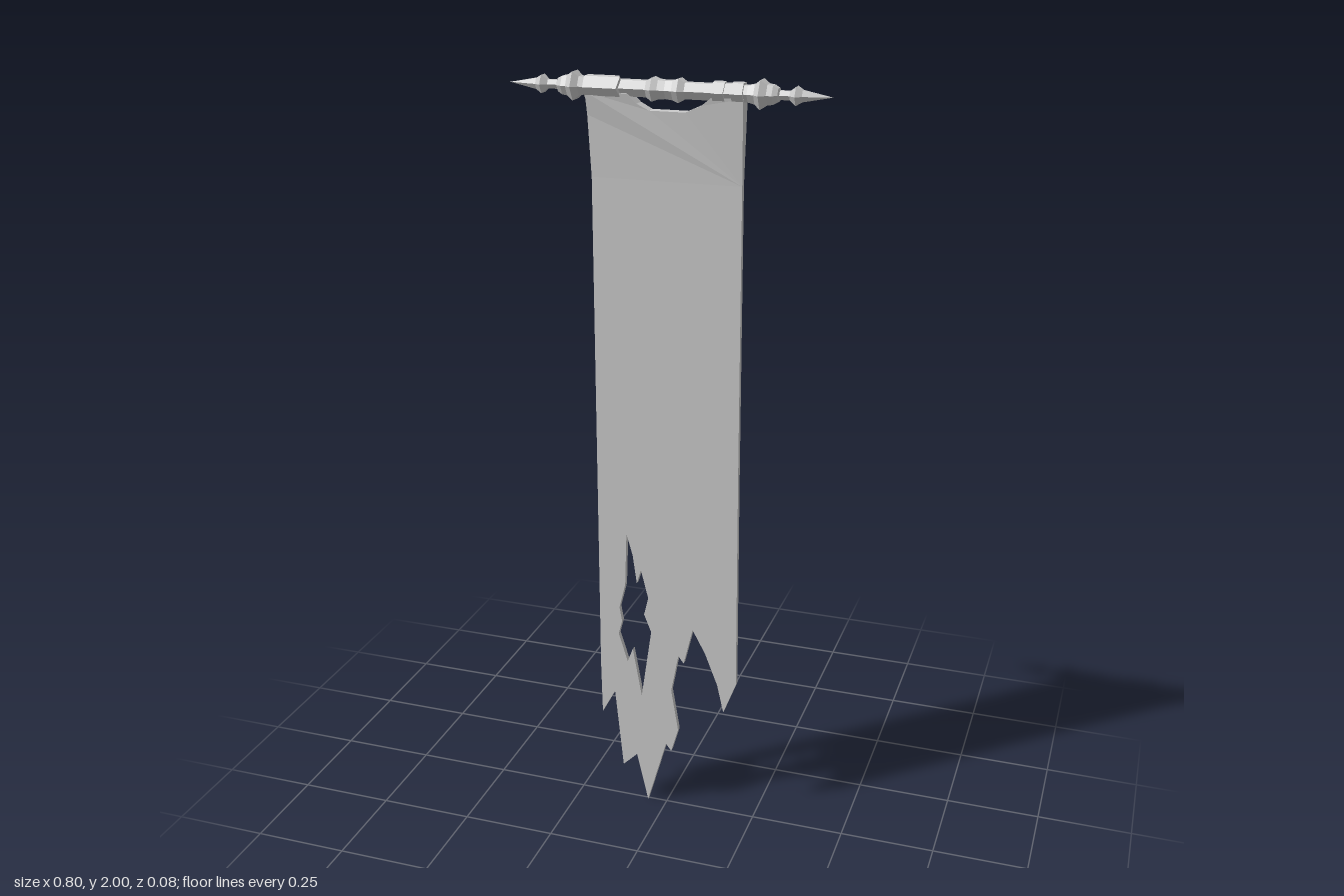
import * as THREE from 'three';

const ROD_Y = 1.966;
const SIDES = 6;
const mat = new THREE.MeshStandardMaterial({ color: 0xcccccc, flatShading: true, side: THREE.DoubleSide });

function addMesh(group, name, geometry) {
  const mesh = new THREE.Mesh(geometry, mat);
  mesh.name = name;
  group.add(mesh);
  return mesh;
}

const toPoints = (list) => list.map(([x, y]) => new THREE.Vector2(x, y));

// Cloth slab whose half thickness depends on height
function clothPiece(outline, holes, halfThickness) {
  const shape = new THREE.Shape(toPoints(outline));
  holes.forEach((h) => shape.holes.push(new THREE.Path(toPoints(h))));
  const geo = new THREE.ExtrudeGeometry(shape, { depth: 1, bevelEnabled: false });
  const p = geo.attributes.position;
  for (let i = 0; i < p.count; i++) {
    p.setZ(i, (p.getZ(i) > 0.5 ? 1 : -1) * halfThickness(p.getY(i)));
  }
  geo.computeVertexNormals();
  return geo;
}

// Loop of cloth around the rod, with uneven ends
function sleeve(x0, x1, radius, rag0, rag1) {
  const len = x1 - x0;
  const geo = new THREE.CylinderGeometry(radius, radius, len, SIDES);
  geo.rotateZ(-Math.PI / 2);
  const p = geo.attributes.position;
  for (let i = 0; i < p.count; i++) {
    const y = p.getY(i), z = p.getZ(i);
    const wave = Math.sin(2 * Math.atan2(z, y) + 0.6) - y / radius;
    p.setX(i, p.getX(i) + wave * (p.getX(i) > 0 ? rag1 : rag0));
  }
  geo.translate((x0 + x1) / 2, ROD_Y, 0.001);
  geo.computeVertexNormals();
  return geo;
}

export function createModel() {
  const model = new THREE.Group();
  model.name = 'tatteredBanner';

  // Turned rod with spear tips: half profile (distance from middle, radius), mirrored
  const half = [
    [0, 0.024], [0.018, 0.026], [0.033, 0.032], [0.048, 0.022], [0.2, 0.022],
    [0.217, 0.026], [0.231, 0.039], [0.247, 0.027], [0.26, 0.025], [0.272, 0.018],
    [0.275, 0.012], [0.299, 0.012], [0.314, 0.025], [0.329, 0.015], [0.4, 0],
  ];
  const profile = [
    ...half.slice(1).reverse().map(([d, r]) => new THREE.Vector2(r, -d)),
    ...half.map(([d, r]) => new THREE.Vector2(r, d)),
  ];
  const rod = addMesh(model, 'rod', new THREE.LatheGeometry(profile, SIDES));
  rod.rotation.z = -Math.PI / 2;
  rod.position.y = ROD_Y;

  // Long hanging cloth with torn hem and a ragged hole
  const hem = [
    [-0.19, 1.75], [-0.188, 0.41], [-0.185, 0.26], [-0.148, 0.33], [-0.125, 0.1],
    [-0.085, 0.14], [-0.053, 0], [0, 0.19], [0.015, 0.17], [0.035, 0.24],
    [0.015, 0.36], [0.035, 0.47], [0.05, 0.45], [0.075, 0.555], [0.11, 0.49],
    [0.145, 0.4], [0.163, 0.32], [0.197, 0.41], [0.193, 1], [0.19, 1.75],
  ];
  const tear = [
    [-0.11, 0.81], [-0.093, 0.75], [-0.082, 0.67], [-0.07, 0.71], [-0.05, 0.63],
    [-0.062, 0.58], [-0.042, 0.53], [-0.07, 0.33], [-0.095, 0.47], [-0.11, 0.43],
    [-0.135, 0.51], [-0.125, 0.55], [-0.132, 0.59], [-0.115, 0.66],
  ];
  addMesh(model, 'cloth', clothPiece(hem, [tear], () => 0.0075));

  // Upper cloth, thickening towards the rod, with a worn gap below its middle
  const upper = [
    [-0.19, 1.75], [0.19, 1.75], [0.192, 1.9], [0.192, 1.955], [0.115, 1.955],
    [0.09, 1.935], [0.05, 1.917], [-0.04, 1.917], [-0.07, 1.932], [-0.095, 1.955],
    [-0.2, 1.955], [-0.197, 1.9],
  ];
  addMesh(model, 'upperCloth', clothPiece(upper, [], (y) =>
    y <= 1.9 ? 0.0075 + (y - 1.75) * 0.03 : 0.012 + (y - 1.9) * 0.14));

  // Cloth loops over the rod
  addMesh(model, 'wideLoop', sleeve(-0.202, -0.113, 0.029, 0, 0.008));
  addMesh(model, 'innerLoop', sleeve(0.117, 0.146, 0.028, 0.002, 0.003));
  addMesh(model, 'wornLoop', sleeve(0.14, 0.17, 0.0245, 0, 0));
  addMesh(model, 'outerLoop', sleeve(0.164, 0.191, 0.028, 0.003, 0));

  return model;
}
